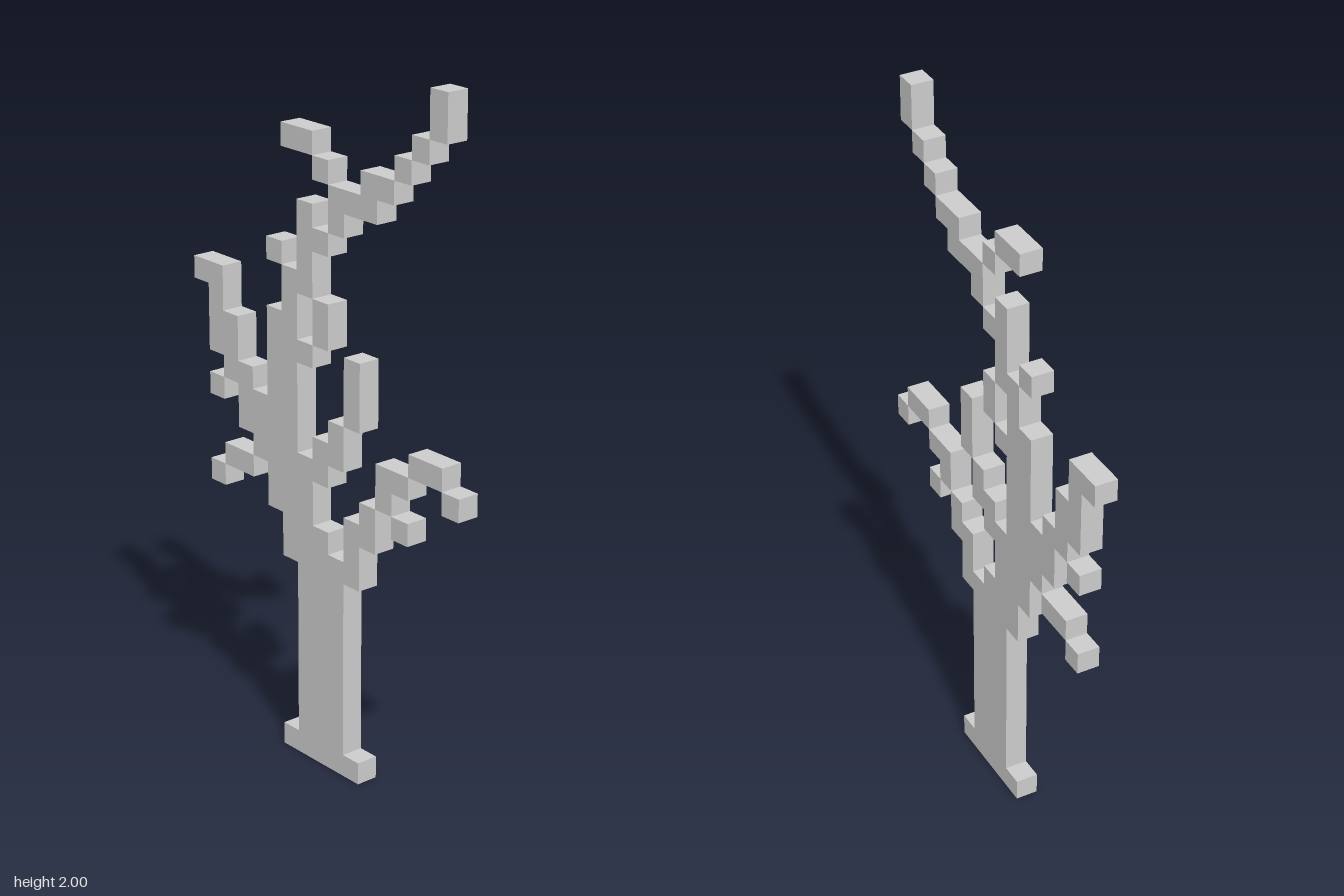
import * as THREE from 'three';
import { mergeGeometries } from 'three/addons/utils/BufferGeometryUtils.js';

const CELL = 2 / 31; // the tree is 17 x 31 square cells, one cell thick
const COLUMNS = 17;

// Each part is a list of cell blocks: [column, row, width = 1, height = 1]
const PARTS = {
  rootBase: [[6, 0, 5]],
  trunk: [[7, 1, 3, 8], [6, 9, 5], [6, 10, 3], [5, 11, 3, 2], [4, 13, 4]],
  upperTrunk: [[5, 14, 2, 6], [6, 20], [6, 21, 2], [7, 22, 1, 3]],
  crownBranch: [[8, 23], [9, 24], [9, 25, 3], [11, 26, 2], [13, 27], [14, 28], [15, 29, 1, 2]],
  crownTwig: [[8, 26], [6, 27, 2]],
  rightUpperTwig: [[5, 22]],
  leftUpperTwig: [[7, 18], [8, 19, 1, 2]],
  innerBranch: [[8, 13], [8, 14, 2], [9, 15], [10, 16, 1, 3]],
  leftBranch: [[10, 10], [10, 11, 2], [11, 12], [12, 13], [12, 14, 2], [14, 15, 2], [16, 14]],
  leftTwig: [[13, 12]],
  rightBranch: [[3, 14, 2, 2], [2, 16, 2], [1, 17, 2, 2], [1, 19], [0, 20, 2]],
  rightTwig: [[1, 15]],
  rightLowBranch: [[2, 12, 2], [1, 11]],
};

function cellsOf(blocks) {
  const cells = [];
  for (const [c, r, w = 1, h = 1] of blocks)
    for (let i = 0; i < w; i++) for (let j = 0; j < h; j++) cells.push([c + i, r + j]);
  return cells;
}

// One square face of a cell, turned about an axis and pushed out from the centre
function face(x, y, axis, angle) {
  const g = new THREE.PlaneGeometry(CELL, CELL).translate(0, 0, CELL / 2);
  if (axis === 'x') g.rotateX(angle);
  else g.rotateY(angle);
  return g.translate(x, y, 0);
}

export function createModel() {
  const tree = new THREE.Group();
  tree.name = 'tree';
  const material = new THREE.MeshStandardMaterial({ color: 0xcccccc, flatShading: true });
  const filled = new Set(Object.values(PARTS).flatMap(cellsOf).map(String));
  const open = (c, r) => !filled.has(`${c},${r}`);

  for (const [name, blocks] of Object.entries(PARTS)) {
    const faces = [];
    for (const [c, r] of cellsOf(blocks)) {
      const x = (c + 0.5 - COLUMNS / 2) * CELL;
      const y = (r + 0.5) * CELL;
      // front and back always show; edge faces only where no cell adjoins
      faces.push(face(x, y, 'y', 0), face(x, y, 'y', Math.PI));
      if (open(c + 1, r)) faces.push(face(x, y, 'y', Math.PI / 2));
      if (open(c - 1, r)) faces.push(face(x, y, 'y', -Math.PI / 2));
      if (open(c, r + 1)) faces.push(face(x, y, 'x', -Math.PI / 2));
      if (open(c, r - 1)) faces.push(face(x, y, 'x', Math.PI / 2));
    }
    const mesh = new THREE.Mesh(mergeGeometries(faces), material);
    mesh.name = name;
    tree.add(mesh);
  }
  return tree;
}
